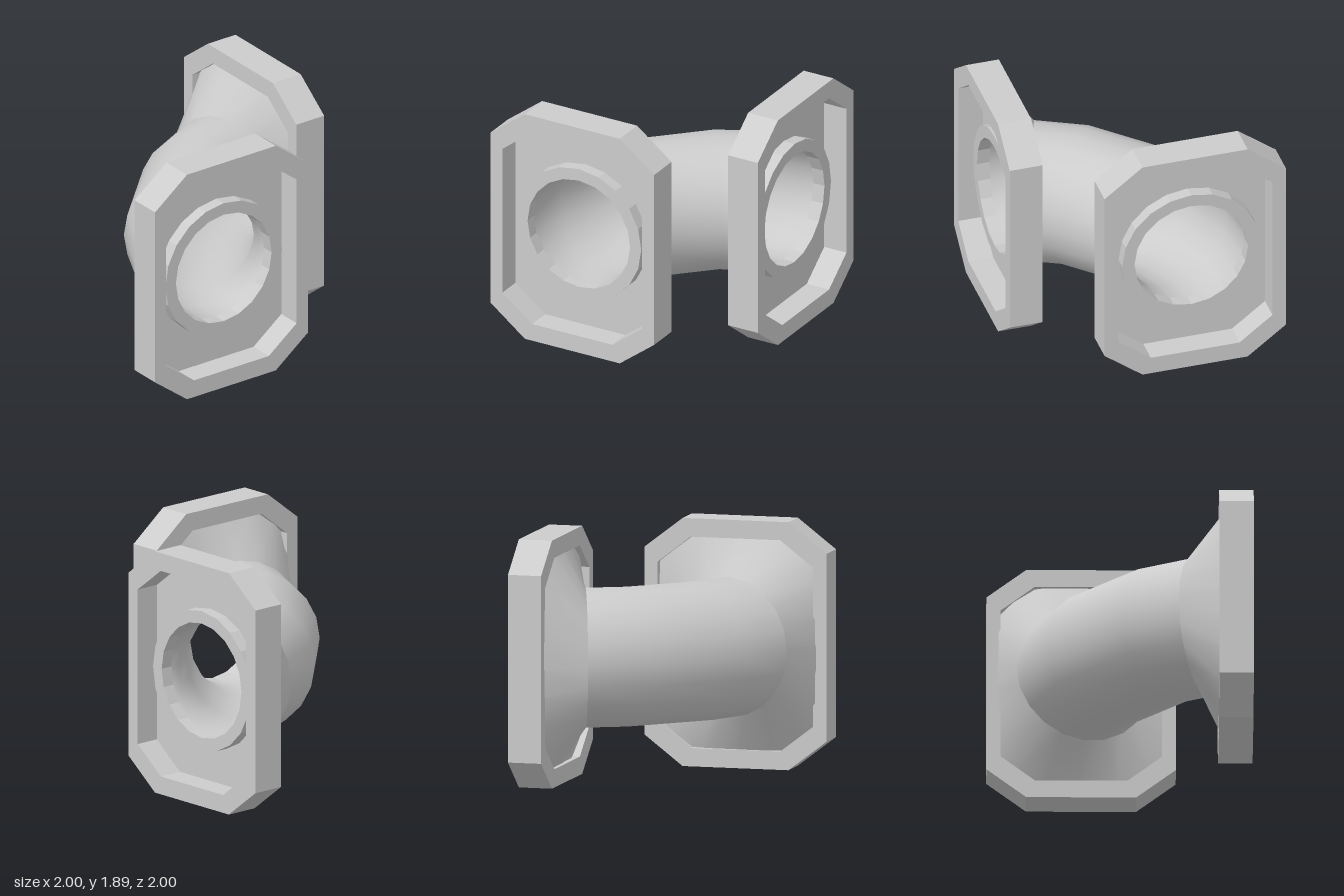
import * as THREE from 'three';

const grey = new THREE.MeshStandardMaterial({ color: 0xcccccc });
const greyDouble = new THREE.MeshStandardMaterial({ color: 0xcccccc, side: THREE.DoubleSide });
const SIDES = 20;
const MID_Y = 0.945;     // height of the pipe axis
const OFF = -0.287;      // sideways offset of each flange centre
const FLOOR = 0.805;     // depth of the recess floor

// Octagon given by half sizes and the half lengths of its straight edges
function octagon(w, h, a, b) {
  return [[w, -b], [w, b], [a, h], [-a, h], [-w, b], [-w, -b], [-a, -h], [a, -h]]
    .map(([x, y]) => new THREE.Vector2(x, y));
}

function circle(r) {
  return Array.from({ length: SIDES }, (_, i) => {
    const t = (i / SIDES) * Math.PI * 2;
    return new THREE.Vector2(r * Math.cos(t), r * Math.sin(t));
  });
}

// Rays towards each pipe vertex, stopped at an octagon
function octagonRing(w, h, a, b) {
  const nx = h - b, ny = w - a, d = nx * w + ny * b;
  return circle(1).map((p) => {
    const x = Math.abs(p.x), y = Math.abs(p.y);
    const s = Math.min(w / Math.max(x, 1e-6), h / Math.max(y, 1e-6), d / (nx * x + ny * y));
    return p.multiplyScalar(s);
  });
}

function plateWithHole(outer, inner) {
  const shape = new THREE.Shape(outer);
  shape.holes.push(new THREE.Path(inner));
  return shape;
}

// Place a flat outline upright at (x, z), turned by an angle in degrees
function section(outline, x, z, degrees) {
  const a = THREE.MathUtils.degToRad(degrees);
  return outline.map((p) => new THREE.Vector3(x + p.x * Math.cos(a), MID_Y + p.y, z + p.x * Math.sin(a)));
}

// Smooth skin through a list of sections
function skin(name, sections) {
  const positions = [], index = [];
  sections.forEach((s) => s.forEach((p) => positions.push(p.x, p.y, p.z)));
  for (let r = 0; r < sections.length - 1; r++) {
    for (let i = 0; i < SIDES; i++) {
      const j = (i + 1) % SIDES;
      const a = r * SIDES + i, b = r * SIDES + j, c = a + SIDES, d = b + SIDES;
      index.push(a, c, b, b, c, d);
    }
  }
  const geometry = new THREE.BufferGeometry();
  geometry.setAttribute('position', new THREE.Float32BufferAttribute(positions, 3));
  geometry.setIndex(index);
  geometry.computeVertexNormals();
  const mesh = new THREE.Mesh(geometry, greyDouble);
  mesh.name = name;
  return mesh;
}

function part(name, geometry, z, material = grey) {
  const mesh = new THREE.Mesh(geometry, material);
  mesh.name = name;
  mesh.position.z = z;
  return mesh;
}

// Octagonal frame, recessed floor and raised collar, facing +z
function makeFlange(name) {
  const flange = new THREE.Group();
  flange.name = name;
  const hole = octagon(0.61, 0.805, 0.35, 0.605);
  const frame = plateWithHole(octagon(0.715, 0.945, 0.415, 0.715), hole);
  flange.add(part('flangeFrame', new THREE.ExtrudeGeometry(frame, { depth: 0.26, bevelEnabled: false }), 0.74));
  flange.add(part('recessFloor', new THREE.ShapeGeometry(plateWithHole(hole, circle(0.448))), FLOOR, greyDouble));
  const collar = plateWithHole(circle(0.545), circle(0.448));
  flange.add(part('collar', new THREE.ExtrudeGeometry(collar, { depth: 0.1, bevelEnabled: false }), FLOOR - 0.003));
  return flange;
}

export function createModel() {
  const model = new THREE.Group();
  model.name = 'pipeElbow';

  // Flanges on the front and on the left
  const front = makeFlange('frontFlange');
  front.position.set(OFF, MID_Y, 0);
  const side = makeFlange('sideFlange');
  side.rotation.y = Math.PI / 2;
  side.position.set(0, MID_Y, OFF);
  model.add(front, side);

  // Bent pipe: x, z and turn of each mitred joint
  const joints = [[-0.27, 0.6, 18], [-0.13, 0.315, 36], [0.315, -0.13, 54], [0.6, -0.27, 72]];
  const ends = [[OFF, FLOOR, 0], [FLOOR, OFF, 90]];
  const outer = circle(0.533), inner = circle(0.448);
  const pipe = joints.map((j) => section(outer, ...j));
  model.add(skin('pipeOuter', pipe));
  model.add(skin('pipeBore', [ends[0], ...joints, ends[1]].map((j) => section(inner, ...j))));

  // Flared transitions from the pipe to each flange
  const flare = octagonRing(0.66, 0.86, 0.38, 0.65);
  model.add(skin('frontFlare', [section(flare, ...ends[0]), pipe[0]]));
  model.add(skin('sideFlare', [pipe[3], section(flare, ...ends[1])]));
  return model;
}
